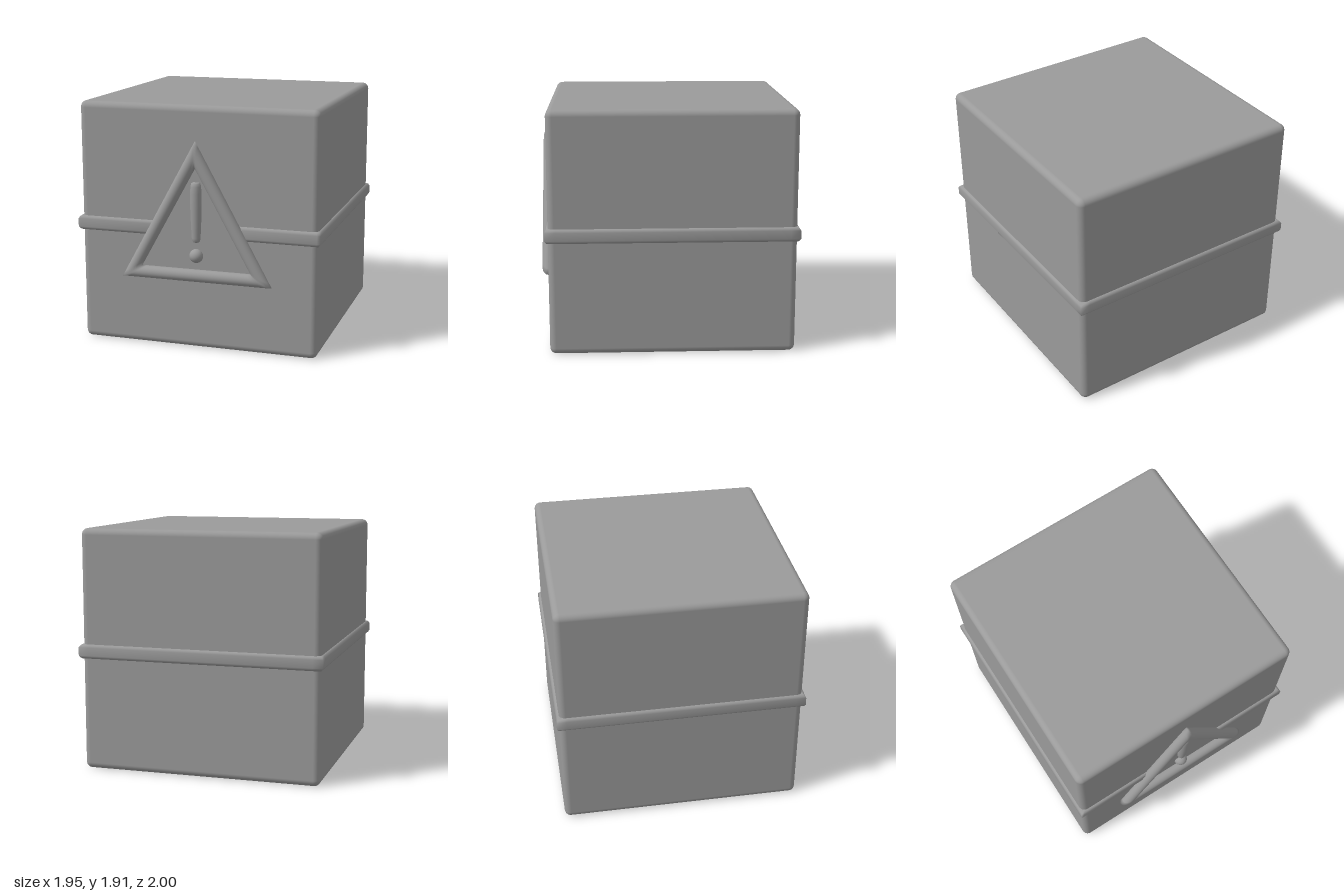
import * as THREE from 'three';
import { RoundedBoxGeometry } from 'three/addons/geometries/RoundedBoxGeometry.js';

const V = (x, y, z) => new THREE.Vector3(x, y, z);
const SIZE = 1.906, HALF = SIZE / 2, CZ = -0.025, FRONT = CZ + HALF;

// Sweeps a profile of [out, up] pairs along straight runs with mitred corners.
// Each corner is [position, outward mitre vector]. Extra rings beside each
// corner keep the soft shading of the mitre local.
function mitredSweep(corners, up, profile, closed) {
  const rings = corners.map(([p, out]) =>
    profile.map(([u, v]) => p.clone().addScaledVector(out, u).addScaledVector(up, v)));
  if (closed) rings.push(rings[0]);
  const loops = [];
  for (let i = 0; i < rings.length - 1; i++) {
    for (const t of [0, 0.04, 0.96]) {
      loops.push(rings[i].map((p, j) => p.clone().lerp(rings[i + 1][j], t)));
    }
  }
  if (!closed) loops.push(rings[rings.length - 1]);

  const index = [], m = profile.length, n = loops.length;
  for (let i = 0; i < (closed ? n : n - 1); i++) {
    for (let j = 0; j < m; j++) {
      const k = (j + 1) % m, next = ((i + 1) % n) * m;
      const a = i * m + j, b = next + j, c = next + k, d = i * m + k;
      index.push(a, b, c, a, c, d);
    }
  }
  const g = new THREE.BufferGeometry().setFromPoints(loops.flat());
  g.setIndex(index);
  g.computeVertexNormals();
  return g;
}

export function createModel() {
  const group = new THREE.Group();
  const darkGrey = new THREE.MeshStandardMaterial({ color: 0x9a9a9a });
  const add = (name, geometry, x = 0, y = 0, z = 0) => {
    const mesh = new THREE.Mesh(geometry, darkGrey);
    mesh.name = name;
    mesh.position.set(x, y, z);
    group.add(mesh);
  };

  // Crate body
  add('body', new RoundedBoxGeometry(SIZE, SIZE, SIZE, 5, 0.05), 0, HALF, CZ);

  // Raised band around the middle, its ends tucked under the sign frame
  const bandProfile = [
    [-0.06, -0.05], [-0.015, -0.057], [0.002, -0.056], [0.013, -0.047], [0.022, -0.032],
    [0.022, 0.032], [0.013, 0.047], [0.002, 0.056], [-0.015, 0.057], [-0.06, 0.05],
  ];
  const bandPath = [
    [V(0.33, 0, HALF), V(0, 0, 1)],
    ...[[1, 1], [1, -1], [-1, -1], [-1, 1]].map(([x, z]) => [V(x * HALF, 0, z * HALF), V(x, 0, z)]),
    [V(-0.33, 0, HALF), V(0, 0, 1)],
  ];
  add('band', mitredSweep(bandPath, V(0, 1, 0), bandProfile, false), 0, 0.945, CZ);

  // Triangular sign frame: round bar with mitred corners
  const round = Array.from({ length: 24 }, (_, i) => {
    const t = (i / 24) * Math.PI * 2;
    return [Math.cos(t), 0.048 * Math.sin(t)];
  });
  const triangle = [
    [V(0, 1.535, 0), V(0, 0.103, 0)],
    [V(-0.522, 0.593, 0), V(-0.081, -0.048, 0)],
    [V(0.522, 0.593, 0), V(0.081, -0.048, 0)],
  ];
  add('signFrame', mitredSweep(triangle, V(0, 0, 1), round, true), 0, 0, 0.951);

  // Exclamation mark: tapered rounded bar and ball
  const bar = [
    [0, 0.853], [0.02, 0.855], [0.03, 0.865], [0.034, 0.89], [0.04, 1.0], [0.044, 1.12],
    [0.044, 1.24], [0.041, 1.29], [0.035, 1.315], [0.024, 1.321], [0, 1.322],
  ].map(([r, y]) => new THREE.Vector2(r, y));
  add('signBar', new THREE.LatheGeometry(bar, 24), 0, 0, FRONT + 0.007);
  add('signDot', new THREE.SphereGeometry(0.054, 24, 16), 0, 0.746, FRONT + 0.007);

  return group;
}
